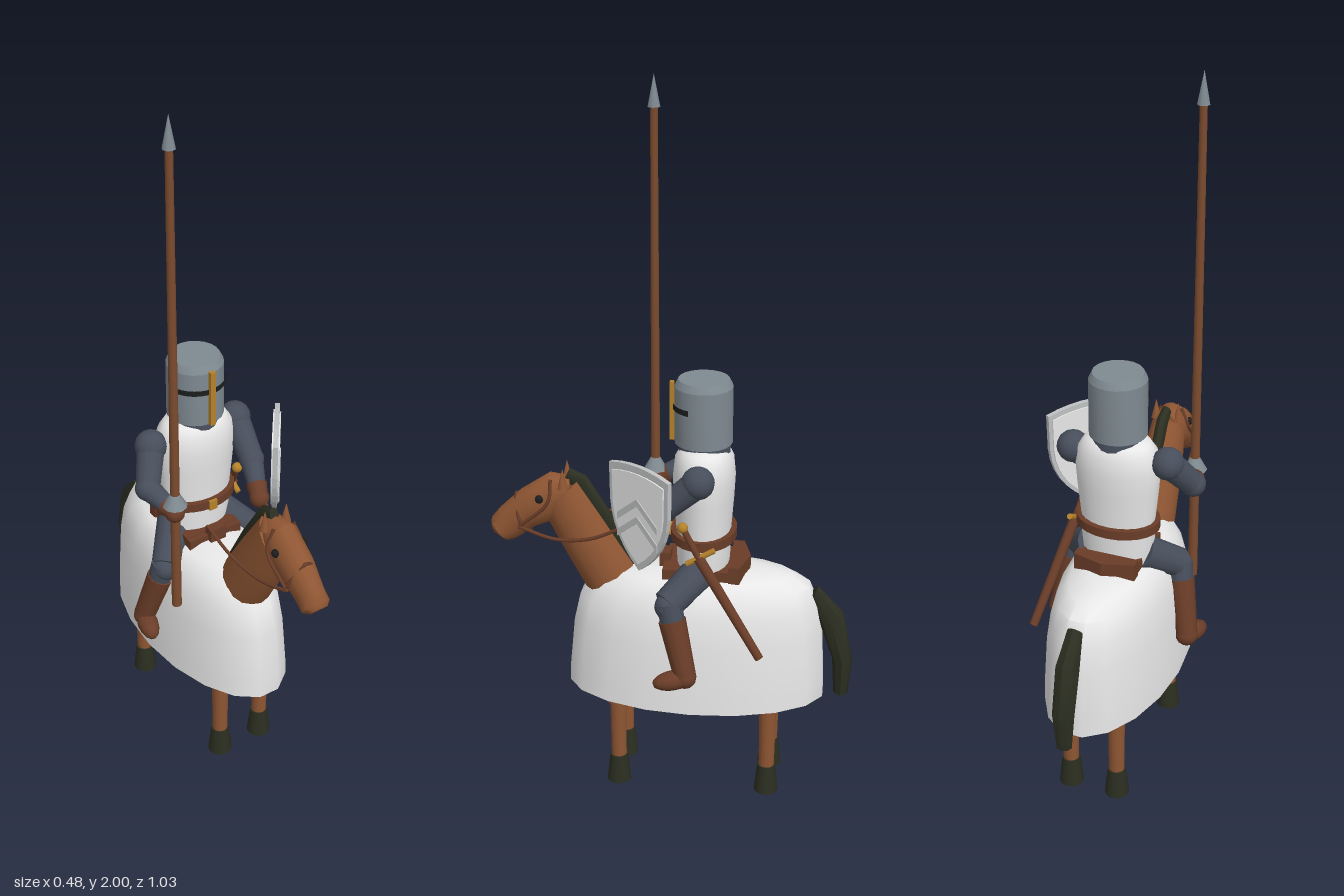
import * as THREE from 'three';
import { toCreasedNormals } from 'three/addons/utils/BufferGeometryUtils.js';

const mat = (name, color) => {
  const m = new THREE.MeshStandardMaterial({ color });
  m.name = name;
  return m;
};

// Tube of elliptical rings. Each ring: [y1, z1, y2, z2, halfWidth], the two ends of its depth axis.
function loft(rings, sides = 16) {
  const pos = [], idx = [];
  for (const [y1, z1, y2, z2, w] of rings) {
    for (let j = 0; j < sides; j++) {
      const t = (j / sides) * Math.PI * 2, s = Math.sin(t) / 2;
      pos.push(w * Math.cos(t), (y1 + y2) / 2 + (y1 - y2) * s, (z1 + z2) / 2 + (z1 - z2) * s);
    }
  }
  const last = (rings.length - 1) * sides;
  for (let i = 0; i < rings.length - 1; i++) {
    for (let j = 0; j < sides; j++) {
      const k = (j + 1) % sides, a = i * sides + j, b = i * sides + k;
      idx.push(a, a + sides, b, b, a + sides, b + sides);
    }
  }
  for (let j = 1; j < sides - 1; j++) {
    idx.push(0, j, j + 1, last, last + j + 1, last + j);
  }
  const g = new THREE.BufferGeometry();
  g.setAttribute('position', new THREE.Float32BufferAttribute(pos, 3));
  g.setIndex(idx);
  return toCreasedNormals(g, 0.75);
}

export function createModel() {
  const root = new THREE.Group();
  root.name = 'mountedKnight';
  const coat = mat('chestnut coat', 0x8f5633);
  const leather = mat('leather', 0x6a3d28);
  const wood = mat('lance wood', 0x7c4b2e);
  const dark = mat('dark hair and hoof', 0x2b2e20);
  const cloth = mat('white cloth', 0xececec);
  const steel = mat('steel', 0x7f8a91);
  const mail = mat('mail', 0x474e5b);
  const gold = mat('gold', 0xb5822b);
  const grey = mat('pale grey', 0xbfc1c2);
  const black = mat('black', 0x1c1d1d);

  const add = (name, geo, m, x = 0, y = 0, z = 0) => {
    const mesh = new THREE.Mesh(geo, m);
    mesh.name = name;
    mesh.position.set(x, y, z);
    root.add(mesh);
    return mesh;
  };
  const box = (name, m, w, h, d, x, y, z) => add(name, new THREE.BoxGeometry(w, h, d), m, x, y, z);
  const ball = (name, m, r, p) => add(name, new THREE.SphereGeometry(r, 14, 10), m, ...p);
  // Tapered rod from a (radius ra) to b (radius rb)
  const rod = (name, m, a, b, ra, rb, sides = 12) => {
    const A = new THREE.Vector3(...a), B = new THREE.Vector3(...b), d = B.clone().sub(A);
    const mesh = add(name, new THREE.CylinderGeometry(rb, ra, d.length(), sides), m);
    mesh.position.copy(A).add(B).multiplyScalar(0.5);
    mesh.quaternion.setFromUnitVectors(new THREE.Vector3(0, 1, 0), d.normalize());
    return mesh;
  };
  const cord = (name, m, pts, r, closed = false) => add(name, new THREE.TubeGeometry(
    new THREE.CatmullRomCurve3(pts.map(p => new THREE.Vector3(...p)), closed), 20, r, 6, closed), m);

  // Cloth covering the horse: y, half width, front z, back z
  const drape = [[0.30, 0.178, 0.30, -0.44], [0.35, 0.176, 0.298, -0.439], [0.50, 0.165, 0.283, -0.43],
    [0.58, 0.153, 0.265, -0.415], [0.64, 0.132, 0.222, -0.39], [0.668, 0.105, 0.165, -0.34], [0.682, 0.06, 0.09, -0.26]];
  add('horseCloth', loft(drape.map(([y, w, f, b]) => [y, f, y, b, w]), 18), cloth);

  // Horse legs and hooves
  for (const x of [-0.07, 0.07]) {
    for (const z of [0.148, -0.283]) {
      rod('horseLeg', coat, [x, 0.07, z], [x, 0.27, z], 0.022, 0.024);
      rod('horseKnee', coat, [x, 0.265, z], [x, 0.33, z], 0.032, 0.034);
      rod('hoof', dark, [x, 0, z], [x, 0.085, z], 0.035, 0.026);
    }
  }

  // Neck, head, mane and tail
  add('horseNeck', loft([[0.55, 0.21, 0.62, 0.07, 0.07], [0.60, 0.245, 0.67, 0.10, 0.068],
    [0.75, 0.325, 0.80, 0.18, 0.06], [0.83, 0.365, 0.925, 0.26, 0.048]]), coat);
  add('horseHead', loft([[0.855, 0.28, 0.93, 0.285, 0.035], [0.80, 0.325, 0.938, 0.345, 0.05],
    [0.775, 0.385, 0.885, 0.425, 0.046], [0.738, 0.435, 0.825, 0.487, 0.038],
    [0.728, 0.46, 0.795, 0.512, 0.04], [0.74, 0.485, 0.775, 0.514, 0.026]]), coat);
  add('mane', loft([[0.67, 0.13, 0.67, 0.088, 0.016], [0.80, 0.205, 0.82, 0.168, 0.018],
    [0.90, 0.275, 0.935, 0.24, 0.018], [0.915, 0.305, 0.955, 0.285, 0.014]], 8), dark);
  add('tail', loft([[0.30, -0.465, 0.30, -0.505, 0.022], [0.41, -0.457, 0.41, -0.515, 0.032],
    [0.50, -0.425, 0.56, -0.482, 0.034], [0.60, -0.385, 0.635, -0.41, 0.022]], 8), dark);

  for (const s of [-1, 1]) {
    // Ears, eyes, bridle and reins
    add('horseEar', new THREE.ConeGeometry(0.015, 0.06, 8), coat, s * 0.034, 0.935, 0.30);
    ball('horseEye', black, 0.012, [s * 0.044, 0.875, 0.365]);
    cord('cheekStrap', leather, [[s * 0.03, 0.93, 0.335], [s * 0.053, 0.87, 0.34], [s * 0.048, 0.79, 0.425]], 0.005);
    cord('rein', leather, [[s * 0.048, 0.79, 0.425], [s * 0.063, 0.765, 0.32], [s * 0.08, 0.78, 0.22], [s * 0.096, 0.83, 0.12]], 0.005);

    // Rider's legs
    rod('thigh', mail, [s * 0.07, 0.70, -0.09], [s * 0.152, 0.63, -0.005], 0.05, 0.042);
    ball('knee', mail, 0.04, [s * 0.152, 0.625, -0.01]);
    rod('shin', mail, [s * 0.155, 0.64, -0.01], [s * 0.165, 0.57, -0.025], 0.036, 0.034);
    rod('boot', leather, [s * 0.162, 0.59, -0.02], [s * 0.195, 0.435, -0.06], 0.038, 0.031);
    ball('heel', leather, 0.032, [s * 0.195, 0.432, -0.06]);
    const foot = ball('foot', leather, 0.03, [s * 0.203, 0.425, -0.03]);
    foot.scale.set(1, 0.9, 2);
    foot.rotation.set(0.15, s * 0.25, 0);
  }
  cord('noseband', leather, [[0.047, 0.80, 0.42], [0, 0.872, 0.44], [-0.047, 0.80, 0.42], [0, 0.762, 0.402]], 0.005, true);

  // Saddle with a bowed back
  box('saddleSeat', leather, 0.17, 0.035, 0.18, 0, 0.685, -0.09);
  const bow = new THREE.Shape([[-0.088, 0.165], [0.088, 0.165], [0.088, 0.195], [0, 0.22], [-0.088, 0.195]]
    .map(p => new THREE.Vector2(...p)));
  const cantle = add('saddleBack', new THREE.ExtrudeGeometry(bow, { depth: 0.05, bevelEnabled: false }), leather, 0, 0.67, 0);
  cantle.rotation.x = -Math.PI / 2;
  box('saddleFront', leather, 0.17, 0.04, 0.03, 0, 0.68, 0.003);
  box('saddlePommel', leather, 0.05, 0.055, 0.03, 0, 0.695, 0.018);

  // Surcoat, belt and collar
  const profile = [[0.098, 0.67], [0.104, 0.74], [0.105, 0.80], [0.115, 0.90], [0.119, 0.96], [0.112, 1.01], [0.09, 1.04], [0.05, 1.055], [0, 1.055]];
  const torso = add('surcoat', new THREE.LatheGeometry(profile.map(p => new THREE.Vector2(...p)), 24), cloth, 0, 0, -0.088);
  torso.scale.z = 0.72;
  const belt = add('belt', new THREE.CylinderGeometry(0.119, 0.119, 0.026, 24), leather, 0, 0.79, -0.088);
  belt.scale.z = 0.77;
  box('beltBuckle', gold, 0.025, 0.03, 0.008, 0, 0.79, 0.005);
  add('mailCollar', new THREE.CylinderGeometry(0.066, 0.072, 0.05, 20), mail, 0, 1.045, -0.088);

  // Helmet with eye slit and gold cross bar
  const helm = [[0, 1.055], [0.079, 1.055], [0.079, 1.215], [0.069, 1.235], [0, 1.235]];
  add('helmet', toCreasedNormals(new THREE.LatheGeometry(helm.map(p => new THREE.Vector2(...p)), 20), 0.4), steel, 0, 0, -0.085);
  const slit = new THREE.CylinderGeometry(0.083, 0.083, 0.016, 16, 1, true, -1.15, 2.3);
  const slitMaterial = black;
  slitMaterial.side = THREE.DoubleSide;
  add('eyeSlit', slit, slitMaterial, 0, 1.16, -0.085);
  box('helmetBar', gold, 0.016, 0.165, 0.012, 0, 1.14, 0.001);

  // Arms: shoulder, elbow, hand
  const arms = [[[-0.142, 0.99, -0.088], [-0.192, 0.905, -0.025], [-0.165, 0.87, 0.068]],
    [[0.132, 0.988, -0.085], [0.125, 0.90, 0.01], [0.09, 0.835, 0.10]]];
  for (const [shoulder, elbow, hand] of arms) {
    const wrist = hand.map((v, i) => v * 0.65 + elbow[i] * 0.35);
    ball('shoulder', mail, 0.045, shoulder);
    rod('upperArm', mail, shoulder, elbow, 0.04, 0.034);
    ball('elbow', mail, 0.036, elbow);
    rod('forearm', mail, elbow, wrist, 0.033, 0.026);
    rod('gauntlet', leather, wrist, hand, 0.03, 0.024);
    ball('hand', leather, 0.028, hand);
  }

  // Lance
  rod('lanceShaft', wood, [-0.165, 0.55, 0.07], [-0.165, 1.93, 0.07], 0.014, 0.01);
  add('lanceGuard', new THREE.ConeGeometry(0.034, 0.06, 10), steel, -0.165, 0.925, 0.07);
  add('lanceTip', new THREE.ConeGeometry(0.017, 0.085, 8), steel, -0.165, 1.9575, 0.07);

  // Sword in its scabbard
  rod('scabbard', leather, [0.128, 0.765, -0.088], [0.185, 0.50, -0.262], 0.015, 0.012);
  rod('swordGrip', leather, [0.113, 0.84, -0.045], [0.128, 0.765, -0.088], 0.009, 0.009);
  rod('swordGuard', gold, [0.127, 0.79, -0.13], [0.127, 0.745, -0.055], 0.008, 0.008);
  ball('swordPommel', gold, 0.015, [0.112, 0.845, -0.042]);

  // Shield: rim, field and two chevrons
  const shield = new THREE.Group();
  shield.name = 'shield';
  shield.position.set(0.163, 0.893, 0.06);
  shield.rotation.y = 0.927;
  root.add(shield);
  const heater = k => {
    const s = new THREE.Shape();
    s.moveTo(0, -0.152 * k);
    s.quadraticCurveTo(0.1 * k, -0.08 * k, 0.108 * k, 0.03 * k);
    s.lineTo(0.11 * k, 0.135 * k);
    s.quadraticCurveTo(0, 0.165 * k, -0.11 * k, 0.135 * k);
    s.lineTo(-0.108 * k, 0.03 * k);
    s.quadraticCurveTo(-0.1 * k, -0.08 * k, 0, -0.152 * k);
    return s;
  };
  const chevron = y => new THREE.Shape([[-0.075, y - 0.06], [0, y], [0.075, y - 0.06], [0.075, y - 0.04], [0, y + 0.02], [-0.075, y - 0.04]]
    .map(p => new THREE.Vector2(...p)));
  const plate = (name, shape, depth, m, z) => {
    const mesh = new THREE.Mesh(new THREE.ExtrudeGeometry(shape, { depth, bevelEnabled: false, curveSegments: 6 }), m);
    mesh.name = name;
    mesh.position.z = z;
    shield.add(mesh);
  };
  plate('shieldRim', heater(1), 0.014, grey, 0);
  plate('shieldField', heater(0.87), 0.004, cloth, 0.014);
  plate('shieldBack', heater(0.9), 0.004, cloth, -0.004);
  for (const y of [0.04, -0.01]) plate('shieldChevron', chevron(y), 0.003, grey, 0.018);

  return root;
}
